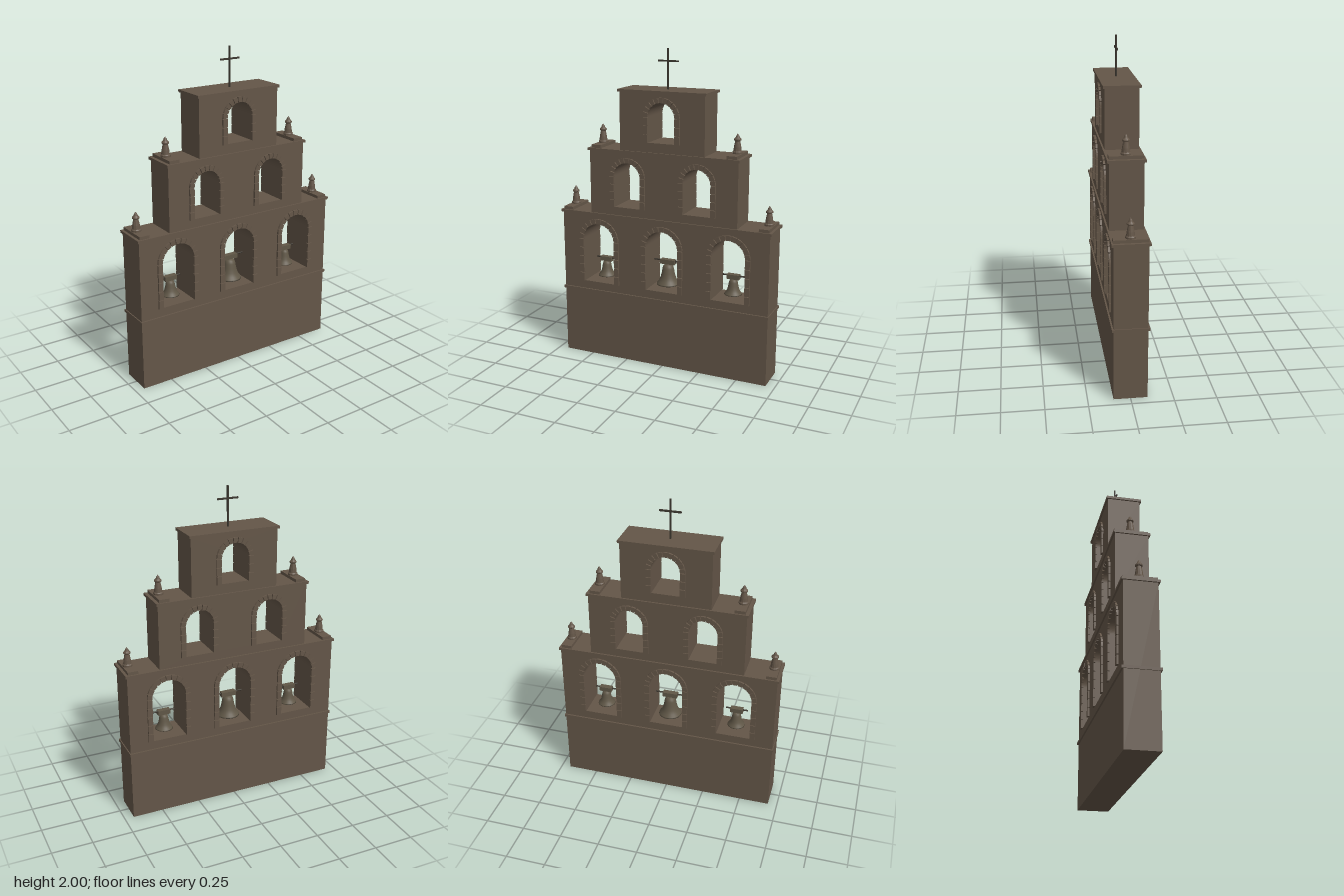
import * as THREE from 'three';

const stone = new THREE.MeshStandardMaterial({ color: 0x645648 });
stone.name = 'stone';
const bronze = new THREE.MeshStandardMaterial({ color: 0x605747 });
bronze.name = 'bronze';
const iron = new THREE.MeshStandardMaterial({ color: 0x3c372f });
iron.name = 'iron';

const HALF_DEPTH = 0.1;

function add(parent, name, geometry, material, x = 0, y = 0, z = 0) {
  const mesh = new THREE.Mesh(geometry, material);
  mesh.name = name;
  mesh.position.set(x, y, z);
  parent.add(mesh);
  return mesh;
}

function box(parent, name, w, y0, y1, d, material, x = 0, z = 0) {
  return add(parent, name, new THREE.BoxGeometry(w, y1 - y0, d), material, x, (y0 + y1) / 2, z);
}

// Wall storey pierced by round-headed openings
function storey(parent, name, half, y0, y1, arches) {
  const shape = new THREE.Shape();
  shape.moveTo(-half, y0).lineTo(half, y0).lineTo(half, y1).lineTo(-half, y1).closePath();
  for (const a of arches) {
    const hole = new THREE.Path();
    hole.moveTo(a.x - a.r, a.sill);
    hole.lineTo(a.x - a.r, a.spring);
    hole.absarc(a.x, a.spring, a.r, Math.PI, 0, true);
    hole.lineTo(a.x + a.r, a.sill);
    hole.closePath();
    shape.holes.push(hole);
  }
  const geo = new THREE.ExtrudeGeometry(shape, {
    depth: 2 * HALF_DEPTH, bevelEnabled: false, curveSegments: 24,
  });
  add(parent, name, geo, stone, 0, 0, -HALF_DEPTH);
}

// Raised stone blocks around an opening, on both faces
function archSurround(parent, a) {
  const group = new THREE.Group();
  group.name = 'archSurround';
  parent.add(group);
  const band = 0.031, gap = 0.004, depth = 0.022, stones = 11;
  const outer = a.r + band, step = Math.PI / stones, trim = gap / 2 / a.r;

  const wedge = new THREE.Shape();
  wedge.absarc(0, 0, outer, trim, step - trim, false);
  wedge.absarc(0, 0, a.r, step - trim, trim, true);
  const wedgeGeo = new THREE.ExtrudeGeometry(wedge, { depth, bevelEnabled: false, curveSegments: 3 });
  wedgeGeo.translate(0, 0, -depth / 2);

  const rows = Math.round((a.spring - a.sill) / 0.055);
  const h = (a.spring - a.sill) / rows;
  for (const side of [1, -1]) {
    const z = side * (HALF_DEPTH + 0.001);
    for (let i = 0; i < stones; i++) {
      add(group, 'archStone', wedgeGeo, stone, a.x, a.spring, z).rotation.z = i * step;
    }
    for (let i = 0; i < rows; i++) {
      for (const s of [1, -1]) {
        box(group, 'jambStone', band, a.sill + i * h + (i ? gap / 2 : 0),
          a.sill + (i + 1) * h - gap / 2, depth, stone, a.x + s * (a.r + band / 2), z);
      }
    }
  }
}

// Bell with headstock, axle and clapper
function bell(parent, x, lip, y0, y1, beamHalf, axleHalf) {
  const group = new THREE.Group();
  group.name = 'bell';
  group.position.x = x;
  parent.add(group);
  const h = y1 - y0;
  const profile = [
    [0.86, 0.02], [1, 0], [0.97, 0.06], [0.8, 0.17], [0.66, 0.34], [0.56, 0.56],
    [0.5, 0.76], [0.42, 0.9], [0.25, 0.98], [0, 1],
  ].map(([r, y]) => new THREE.Vector2(r * lip, y0 + y * h));
  add(group, 'bellBody', new THREE.LatheGeometry(profile, 28), bronze);
  add(group, 'bellUnderside', new THREE.CircleGeometry(lip * 0.9, 28), bronze, 0, y0 + h * 0.03).rotation.x = Math.PI / 2;
  add(group, 'clapper', new THREE.SphereGeometry(lip * 0.2, 12, 8), bronze, 0, y0 - lip * 0.12);
  box(group, 'headstock', 2 * beamHalf, y1 - 0.002, y1 + 0.027, 0.035, bronze);
  const axle = new THREE.CylinderGeometry(0.005, 0.005, 2 * axleHalf, 10);
  add(group, 'axle', axle, iron, 0, y1 + 0.019).rotation.z = Math.PI / 2;
}

// Turned finial on a long plinth
function finial(parent, x, y) {
  const group = new THREE.Group();
  group.name = 'finial';
  group.position.set(x, y, 0);
  parent.add(group);
  box(group, 'finialPlinth', 0.064, 0, 0.02, 0.2, stone);
  const profile = [
    [0.03, 0.018], [0.03, 0.03], [0.025, 0.036], [0.022, 0.06], [0.015, 0.094],
    [0.022, 0.099], [0.022, 0.106], [0.013, 0.116], [0.008, 0.128], [0, 0.139],
  ].map(([r, py]) => new THREE.Vector2(r, py));
  const geo = new THREE.LatheGeometry(profile, 12).toNonIndexed();
  geo.computeVertexNormals();
  add(group, 'finialBody', geo, stone);
}

export function createModel() {
  const model = new THREE.Group();
  model.name = 'bellGable';

  // Storeys and their openings
  const lower = [-0.437, 0, 0.437].map((x) => ({ x, r: 0.108, sill: 0.503, spring: 0.788 }));
  const middle = [-0.231, 0.231].map((x) => ({ x, r: 0.089, sill: 1.021, spring: 1.218 }));
  const upper = [{ x: 0, r: 0.088, sill: 1.444, spring: 1.6 }];
  storey(model, 'lowerStorey', 0.692, 0, 0.955, lower);
  storey(model, 'middleStorey', 0.488, 0.966, 1.37, middle);
  storey(model, 'upperStorey', 0.277, 1.384, 1.745, upper);
  for (const a of [...lower, ...middle, ...upper]) archSurround(model, a);

  // Projecting string courses and cornices
  for (const [half, y0, y1] of [
    [0.698, 0.434, 0.451], [0.702, 0.953, 0.969], [0.498, 1.369, 1.385], [0.287, 1.742, 1.758],
  ]) box(model, 'cornice', 2 * half, y0, y1, 0.22, stone);

  // Bells hang in the lower openings
  bell(model, 0, 0.073, 0.528, 0.662, 0.048, 0.095);
  for (const s of [1, -1]) {
    bell(model, s * 0.437, 0.055, 0.525, 0.625, 0.04, 0.07);
    finial(model, s * 0.653, 0.968);
    finial(model, s * 0.445, 1.384);
  }

  // Cross on the summit
  const cross = new THREE.Group();
  cross.name = 'cross';
  model.add(cross);
  box(cross, 'crossUpright', 0.009, 1.757, 2, 0.009, iron);
  box(cross, 'crossArm', 0.132, 1.92, 1.93, 0.009, iron);

  return model;
}
